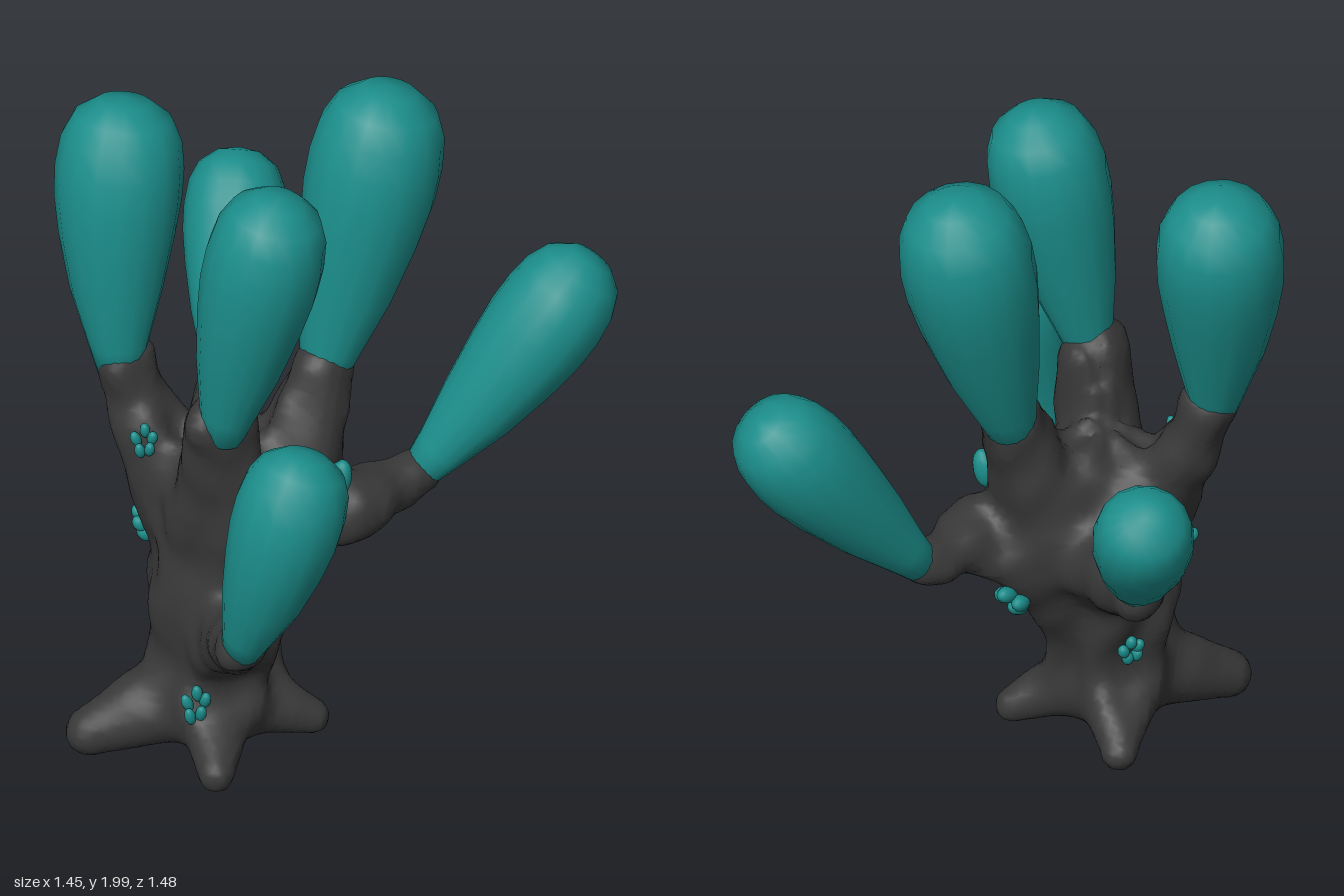
import * as THREE from 'three';
import { mergeVertices } from 'three/addons/utils/BufferGeometryUtils.js';

const bark = new THREE.MeshStandardMaterial({ color: 0x383838 });
bark.name = 'charcoal bark';
const teal = new THREE.MeshStandardMaterial({ color: 0x1b8e8b });
teal.name = 'teal';

const V = (a) => new THREE.Vector3(...a);

// Tapered segments of the stump: start, start radius, end, end radius
const segments = [
  // trunk
  [[-0.2, 0.2, 0.24], 0.165, [-0.195, 0.5, 0.22], 0.182],
  [[-0.195, 0.5, 0.22], 0.182, [-0.18, 0.8, 0.18], 0.205],
  // swelling under the right limb
  [[-0.1, 0.46, 0.16], 0.1, [-0.015, 0.66, 0.045], 0.105],
  // root feet
  [[-0.25, 0.18, 0.29], 0.135, [-0.49, 0.075, 0.435], 0.068],
  [[-0.18, 0.18, 0.275], 0.125, [-0.075, 0.095, 0.525], 0.052],
  [[-0.15, 0.18, 0.24], 0.125, [0.06, 0.085, 0.15], 0.05],
  [[-0.23, 0.19, 0.19], 0.13, [-0.28, 0.095, -0.035], 0.052],
  // tall limbs
  [[-0.3, 0.74, 0.2], 0.12, [-0.43, 0.98, 0.18], 0.085],
  [[-0.43, 0.98, 0.18], 0.08, [-0.495, 1.15, 0.18], 0.086],
  [[-0.16, 0.8, 0.28], 0.125, [-0.13, 1.15, 0.36], 0.096],
  [[-0.04, 0.78, 0.11], 0.15, [0.02, 1.14, -0.01], 0.09],
  // low limbs
  [[-0.12, 0.4, 0.3], 0.12, [0.02, 0.58, 0.575], 0.066],
  [[-0.08, 0.7, 0.14], 0.13, [0.13, 0.73, 0.02], 0.097],
  [[0.13, 0.73, 0.02], 0.097, [0.25, 0.75, -0.17], 0.074],
  [[-0.21, 0.68, 0.07], 0.155, [-0.37, 0.8, -0.27], 0.077],
].map(([a, ra, b, rb]) => ({ a: V(a), ra, d: V(b).sub(V(a)), rb }));

// Distance to the stump: segments blended softly, with twisting bark ridges
const q = new THREE.Vector3();
function stumpDistance(x, y, z) {
  let f = 10;
  const k = 0.06;
  for (const s of segments) {
    q.set(x, y, z).sub(s.a);
    const t = THREE.MathUtils.clamp(q.dot(s.d) / s.d.lengthSq(), 0, 1);
    const g = q.addScaledVector(s.d, -t).length() - THREE.MathUtils.lerp(s.ra, s.rb, t);
    const h = Math.max(k - Math.abs(f - g), 0) / k;
    f = Math.min(f, g) - h * h * k * 0.25;
  }
  const angle = Math.atan2(z - 0.22, x + 0.19);
  const fade = THREE.MathUtils.smoothstep(y, 0.08, 0.25);
  return f + fade * (0.012 * Math.sin(angle * 6 + y * 7) +
    0.01 * Math.sin(x * 31 + y * 9) * Math.sin(y * 23 + z * 12) * Math.sin(z * 29 + 1));
}

// Skin the distance field on a grid: one vertex per crossed cell, one quad per crossed edge
function skin(field, min, max, step) {
  const n = min.map((m, i) => Math.ceil((max[i] - m) / step) + 1);
  const stride = [1, n[0], n[0] * n[1]];
  const values = new Float32Array(n[0] * n[1] * n[2]);
  const cellVertex = new Int32Array(values.length).fill(-1);
  const each = (lo, hi, fn) => {
    for (let z = lo; z < n[2] - hi; z++)
      for (let y = lo; y < n[1] - hi; y++)
        for (let x = lo; x < n[0] - hi; x++) fn([x, y, z], x + y * stride[1] + z * stride[2]);
  };
  each(0, 0, (c, id) => {
    values[id] = field(...c.map((v, i) => min[i] + v * step));
  });
  const positions = [], index = [];
  each(0, 1, (c, id) => {
    const sum = [0, 0, 0];
    let count = 0;
    for (let corner = 0; corner < 8; corner++) {
      const bits = [corner & 1, (corner >> 1) & 1, corner >> 2];
      const i = id + bits[0] + bits[1] * stride[1] + bits[2] * stride[2];
      for (let d = 0; d < 3; d++) {
        if (bits[d]) continue;
        const a = values[i], b = values[i + stride[d]];
        if ((a < 0) === (b < 0)) continue;
        for (let e = 0; e < 3; e++) sum[e] += bits[e] + (e === d ? a / (a - b) : 0);
        count++;
      }
    }
    if (!count) return;
    cellVertex[id] = positions.length / 3;
    for (let e = 0; e < 3; e++) positions.push(min[e] + (c[e] + sum[e] / count) * step);
  });
  each(1, 1, (c, id) => {
    for (let d = 0; d < 3; d++) {
      const inside = values[id] < 0;
      if (inside === (values[id + stride[d]] < 0)) continue;
      const u = stride[(d + 1) % 3], v = stride[(d + 2) % 3];
      const quad = [id - u - v, id - v, id, id - u].map((i) => cellVertex[i]);
      if (!inside) quad.reverse();
      index.push(quad[0], quad[1], quad[2], quad[0], quad[2], quad[3]);
    }
  });
  const geo = new THREE.BufferGeometry();
  geo.setAttribute('position', new THREE.Float32BufferAttribute(positions, 3));
  geo.setIndex(index);
  geo.computeVertexNormals();
  return geo;
}

// Club-shaped bulb: a lathe of unit height bent along a curve
const bulbProfile = [
  [0, 0], [0.36, 0], [0.47, 0.1], [0.72, 0.3], [0.9, 0.5], [0.99, 0.64], [1, 0.75],
  [0.94, 0.85], [0.77, 0.93], [0.42, 0.985], [0, 1],
].map(([r, t]) => new THREE.Vector2(r, t));
const up = new THREE.Vector3(0, 1, 0);

function bulbGeometry(base, bend, tip, radius) {
  const curve = new THREE.QuadraticBezierCurve3(V(base), V(bend), V(tip));
  let geo = new THREE.LatheGeometry(bulbProfile, 16);
  const pos = geo.attributes.position;
  const turn = new THREE.Quaternion();
  for (let i = 0; i < pos.count; i++) {
    const t = THREE.MathUtils.clamp(pos.getY(i), 0, 1);
    turn.setFromUnitVectors(up, curve.getTangentAt(t));
    const p = new THREE.Vector3(pos.getX(i) * radius, 0, pos.getZ(i) * radius)
      .applyQuaternion(turn).add(curve.getPointAt(t));
    pos.setXYZ(i, p.x, p.y, p.z);
  }
  geo.deleteAttribute('uv');
  geo.deleteAttribute('normal');
  geo = mergeVertices(geo, 1e-5);
  geo.computeVertexNormals();
  return geo;
}

// Small buds, dropped inward onto the bark from a point outside
const budGeometry = new THREE.SphereGeometry(1, 10, 8);
function budCluster(start, outward, offsets, radius, length, lean) {
  const group = new THREE.Group();
  group.name = 'budCluster';
  const out = V(outward).normalize();
  const side = new THREE.Vector3().crossVectors(up, out).normalize();
  for (const [s, h] of offsets) {
    const p = V(start).addScaledVector(side, s);
    p.y += h;
    for (let i = 0; i < 40; i++) p.addScaledVector(out, -0.7 * stumpDistance(p.x, p.y, p.z));
    const bud = new THREE.Mesh(budGeometry, teal);
    bud.name = 'bud';
    bud.position.copy(p).addScaledVector(out, radius * 0.7);
    bud.scale.set(radius, length, radius);
    const axis = up.clone().addScaledVector(out, lean).addScaledVector(side, s * 12).normalize();
    bud.quaternion.setFromUnitVectors(up, axis);
    group.add(bud);
  }
  return group;
}

export function createModel() {
  const model = new THREE.Group();
  model.name = 'bulbStump';

  const stump = new THREE.Mesh(skin(stumpDistance, [-0.68, -0.06, -0.44], [0.42, 1.34, 0.76], 0.02), bark);
  stump.name = 'stump';
  model.add(stump);

  // base, bend, tip, radius
  const bulbs = [
    ['leftBulb', [-0.5, 1.13, 0.18], [-0.545, 1.5, 0.14], [-0.545, 1.935, 0.03], 0.18],
    ['frontBulb', [-0.115, 1.13, 0.385], [-0.04, 1.5, 0.385], [0.045, 1.95, 0.35], 0.167],
    ['backBulb', [0.025, 1.12, -0.015], [0.095, 1.5, -0.115], [0.155, 2.0, -0.205], 0.188],
    ['lowFrontBulb', [0.025, 0.58, 0.59], [0.14, 0.88, 0.65], [0.2, 1.25, 0.535], 0.157],
    ['lowRightBulb', [0.255, 0.755, -0.18], [0.41, 0.96, -0.275], [0.65, 1.38, -0.485], 0.157],
    ['lowBackBulb', [-0.375, 0.82, -0.28], [-0.42, 0.98, -0.42], [-0.485, 1.335, -0.675], 0.142],
  ];
  for (const [name, ...shape] of bulbs) {
    const bulb = new THREE.Mesh(bulbGeometry(...shape), teal);
    bulb.name = name;
    model.add(bulb);
  }

  // bud clusters around the bark
  const five = [[0, 0.03], [-0.022, 0.005], [0.022, 0.01], [-0.008, -0.028], [0.018, -0.022]];
  const stack = [[0.005, 0.035], [-0.025, 0], [0.035, 0.005], [0, -0.045]];
  model.add(
    budCluster([-0.385, 0.985, 0.5], [0, 0, 1], five, 0.015, 0.026, 0.3),
    budCluster([-0.7, 0.65, 0.25], [-1, 0, 0.15], five, 0.019, 0.027, 0.6),
    budCluster([-0.17, 0.25, 0.7], [0, 0, 1], five, 0.016, 0.03, 0.3),
    budCluster([0.4, 0.865, 0.23], [1, 0, 0], five, 0.016, 0.026, 0.3),
    budCluster([0.12, 0.565, -0.3], [0.35, 0, -1], stack, 0.025, 0.045, 2),
    budCluster([-0.38, 0.365, -0.15], [-0.4, 0, -1], five, 0.017, 0.025, 0.5),
    budCluster([0.45, 0.885, 0.125], [1, 0, 0], [[0, 0]], 0.034, 0.062, 0.2),
  );
  return model;
}
